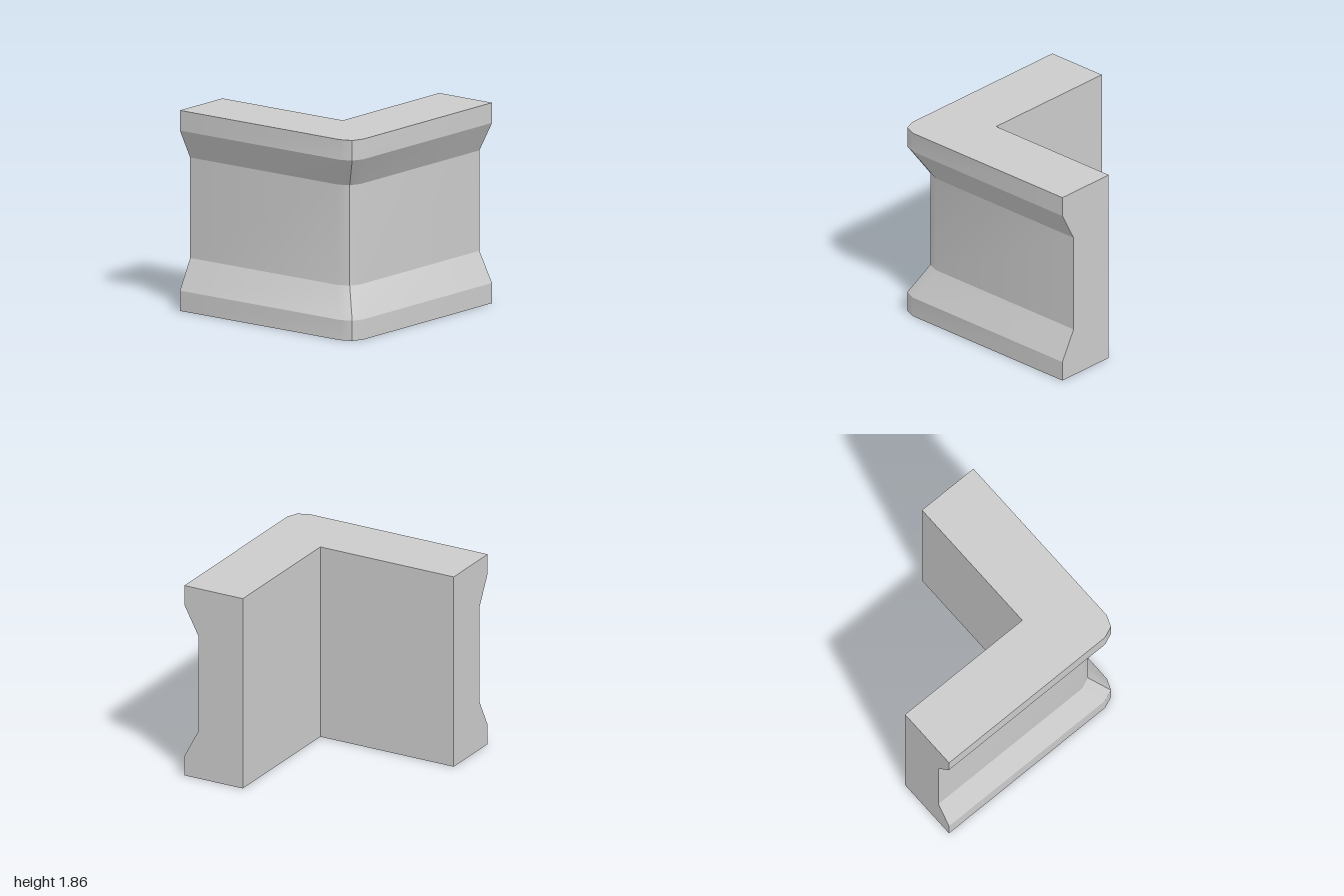
import * as THREE from 'three';
import { toCreasedNormals } from 'three/addons/utils/BufferGeometryUtils.js';

// Height and inward offset of the outer faces: base band, slope, recess, slope, top band
const LEVELS = [[0, 0], [0.187, 0], [0.463, 0.147], [1.392, 0.147], [1.668, 0], [1.855, 0]];

// L-shaped outline as [x, z], with a bevelled outer corner shifted inward by d
const outline = (d) => [
  [-1 + d, -1], [-1 + d, 0.85 - d], [-0.957 + d, 0.957 - d], [-0.85 + d, 1 - d],
  [1, 1 - d], [1, 0.39], [-0.39, 0.39], [-0.39, -1],
];

function cornerWallGeometry() {
  const positions = [];
  const index = [];
  const n = outline(0).length;
  for (const [y, d] of LEVELS) {
    for (const [x, z] of outline(d)) positions.push(x, y, z);
  }

  // Walls between successive outlines
  for (let j = 0; j < LEVELS.length - 1; j++) {
    for (let k = 0; k < n; k++) {
      const a = j * n + k;
      const b = j * n + (k + 1) % n;
      index.push(a, b, b + n, a, b + n, a + n);
    }
  }

  // Flat bottom and top
  const top = (LEVELS.length - 1) * n;
  const flat = outline(0).map(([x, z]) => new THREE.Vector2(x, -z));
  for (const [a, b, c] of THREE.ShapeUtils.triangulateShape(flat, [])) {
    index.push(top + a, top + b, top + c, a, c, b);
  }

  const geometry = new THREE.BufferGeometry();
  geometry.setAttribute('position', new THREE.Float32BufferAttribute(positions, 3));
  geometry.setIndex(index);
  // Soft bevel ends, sharp edges elsewhere
  return toCreasedNormals(geometry, 0.42);
}

export function createModel() {
  const group = new THREE.Group();
  group.name = 'cornerWall';
  const wall = new THREE.Mesh(
    cornerWallGeometry(),
    new THREE.MeshStandardMaterial({ color: 0xcccccc }),
  );
  wall.name = 'mouldedCornerWall';
  group.add(wall);
  return group;
}
